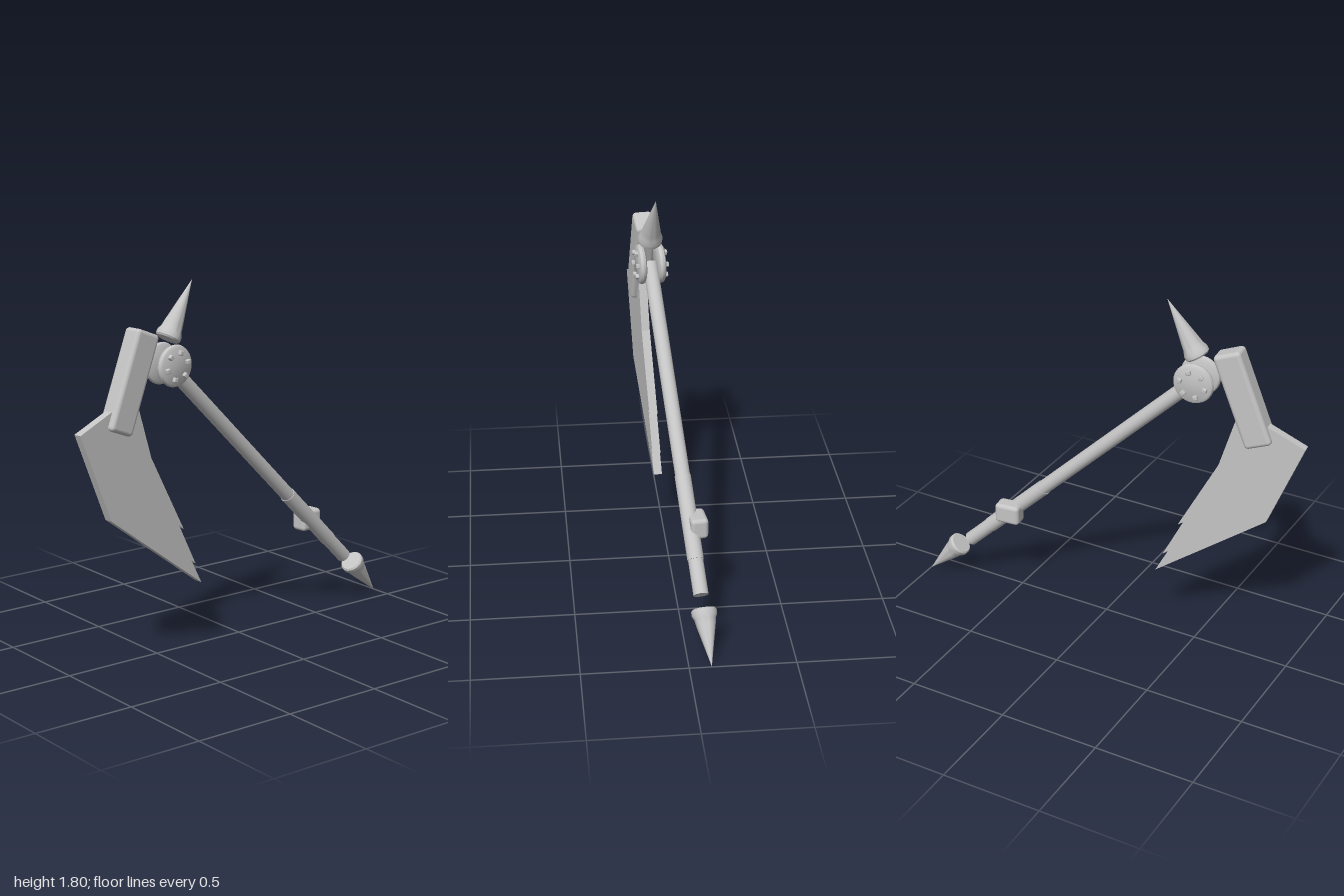
import * as THREE from 'three';
import { RoundedBoxGeometry } from 'three/addons/geometries/RoundedBoxGeometry.js';
import { toCreasedNormals } from 'three/addons/utils/BufferGeometryUtils.js';

const YAW = 0.105;
const steel = new THREE.MeshStandardMaterial({ color: 0xc4c4c4 });
steel.name = 'grey steel';

// Point in the weapon's own plane, from depth z and height y
const at = (z, y, x = 0) => new THREE.Vector3(x, y, z / Math.cos(YAW));
const UP = new THREE.Vector3(0, 1, 0);

export function createModel() {
  const model = new THREE.Group();
  model.name = 'bladedPolearm';

  function add(name, geometry, position) {
    const mesh = new THREE.Mesh(geometry, steel);
    mesh.name = name;
    if (position) mesh.position.copy(position);
    model.add(mesh);
    return mesh;
  }
  // Turned part: [radius, height] profile along +y
  const turned = (profile, sides = 32) => toCreasedNormals(
    new THREE.LatheGeometry(profile.map(p => new THREE.Vector2(...p)), sides), 0.6);
  const aim = (mesh, from, to) =>
    mesh.quaternion.setFromUnitVectors(UP, to.clone().sub(from).normalize());

  // Shaft in three joined lengths
  const top = at(0.455, 1.415), end = at(-0.757, 0.24);
  [['upperShaft', 0, 0.655, 0.036], ['gripShaft', 0.655, 0.9, 0.039], ['lowerShaft', 0.9, 1, 0.036]]
    .forEach(([name, t0, t1, r]) => {
      const a = top.clone().lerp(end, t0), b = top.clone().lerp(end, t1);
      const mesh = add(name, new THREE.CylinderGeometry(r, r, a.distanceTo(b), 24), a.clone().lerp(b, 0.5));
      aim(mesh, a, b);
    });

  // Lipped spikes, standing clear of both ends
  function spike(name, base, tip) {
    const h = base.distanceTo(tip);
    const mesh = add(name, turned([[0, 0], [0.053, 0], [0.06, 0.008], [0.06, 0.028],
      [0.05, 0.05], [0.046, 0.075], [0, h]]), base);
    aim(mesh, base, tip);
  }
  spike('topSpike', at(0.457, 1.535), at(0.30, 1.797));
  spike('endSpike', at(-0.815, 0.2), at(-0.998, 0.002));

  // Hub discs on each side, with a ring of six bolts
  for (const s of [-1, 1]) {
    const side = s > 0 ? 'left' : 'right';
    const disc = add(side + 'HubDisc', turned([[0, 0], [0.085, 0], [0.095, 0.006], [0.1, 0.018],
      [0.095, 0.03], [0.085, 0.036], [0, 0.036]], 36), top.clone().setX(s * 0.03));
    disc.rotation.z = -s * Math.PI / 2;
    for (let i = 0; i < 6; i++) {
      const a = 0.23 + i * Math.PI / 3;
      const bolt = add(side + 'HubBolt', new RoundedBoxGeometry(0.03, 0.023, 0.023, 2, 0.005),
        top.clone().add(new THREE.Vector3(s * 0.067, Math.sin(a) * 0.064, -Math.cos(a) * 0.064)));
      bolt.rotation.x = a;
    }
  }

  // Small block on the side of the grip
  add('gripBlock', new RoundedBoxGeometry(0.085, 0.105, 0.13, 3, 0.02), at(-0.515, 0.48, -0.034));

  // Leaning block that holds the blade
  const holder = add('bladeHolder', new RoundedBoxGeometry(0.1, 0.482, 0.139, 3, 0.02), at(0.69, 1.366));
  holder.rotation.x = -0.374;

  // Blade with notches along its inner edge
  const outline = [[0.997, 1.166], [0.826, 0.738], [0.27, 0.326], [0.334, 0.45], [0.307, 0.428],
    [0.41, 0.636], [0.382, 0.615], [0.58, 0.995], [0.655, 1.246], [0.815, 1.246]];
  const shape = new THREE.Shape(outline.map(([z, y]) => new THREE.Vector2(z / Math.cos(YAW), y)));
  const bladeGeometry = new THREE.ExtrudeGeometry(shape, { depth: 0.042, bevelEnabled: false });
  bladeGeometry.translate(0, 0, -0.021).rotateY(-Math.PI / 2);
  add('blade', bladeGeometry);

  model.rotation.y = YAW;
  const root = new THREE.Group();
  root.name = 'polearm';
  root.add(model);
  return root;
}
